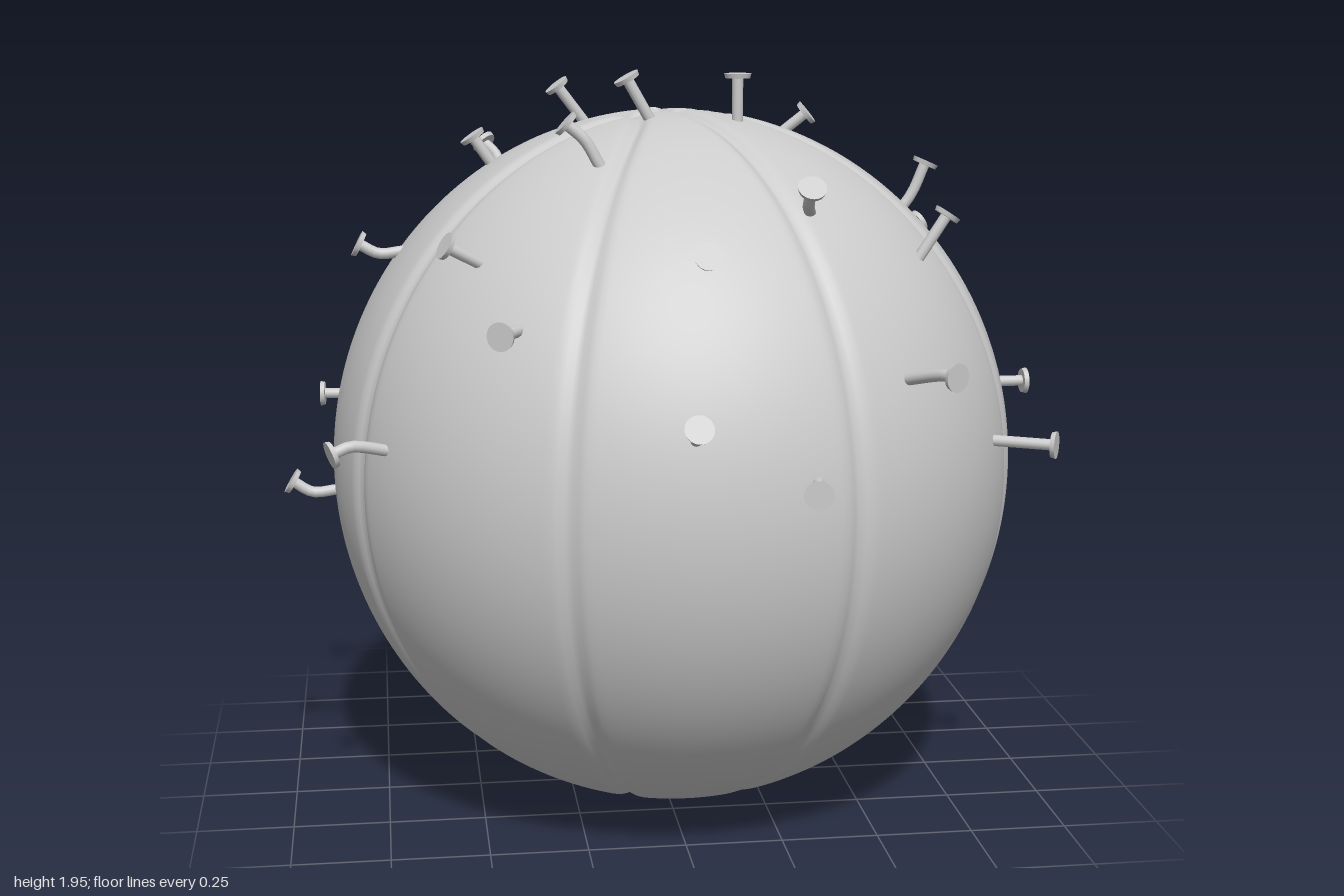
import * as THREE from 'three';
import { mergeVertices } from 'three/addons/utils/BufferGeometryUtils.js';

const CENTRE = new THREE.Vector3(0.025, 0.92, 0.008);

// Straight nails: head position, then the point where the shank enters the ball
const STRAIGHT = [
  [-0.905, 1.03, -0.39, -0.77, 1.03, -0.38],
  [-0.58, 1.55, 0.48, -0.5, 1.505, 0.455],
  [-0.49, 1.77, -0.027, -0.435, 1.69, -0.03],
  [-0.465, 1.37, 0.72, -0.42, 1.37, 0.645],
  [-0.545, 1.4, -0.65, -0.5, 1.35, -0.585],
  [0.545, 1.245, -0.78, 0.495, 1.21, -0.7],
  [-0.25, 1.885, -0.26, -0.17, 1.78, -0.27],
  [-0.105, 1.925, 0.135, -0.045, 1.82, 0.13],
  [0.18, 1.93, 0.13, 0.18, 1.8, 0.13],
  [0.035, 1.79, -0.435, 0.025, 1.73, -0.39],
  [0.425, 1.81, -0.215, 0.34, 1.74, -0.235],
  [0.665, 1.6, 0.405, 0.6, 1.5, 0.405],
  [0.79, 1.485, -0.39, 0.69, 1.43, -0.355],
  [0.99, 1.1, 0.027, 0.89, 1.1, 0.03],
  [0.92, 1.035, 0.54, 0.79, 1.035, 0.47],
  [0.235, 1.035, 0.98, 0.255, 1.035, 0.87],
  [0.02, 1.545, 0.71, 0.02, 1.52, 0.66],
  [0.095, 1.015, -0.985, 0.08, 1.03, -0.88],
  [-0.04, 1.28, -0.935, -0.03, 1.28, -0.81],
];

// Bent nails: head, elbow, entry point
const BENT = [
  [-0.98, 0.875, 0.015, -0.93, 0.845, 0.015, -0.865, 0.85, 0.015],
  [-0.865, 1.055, 0.51, -0.82, 1.07, 0.495, -0.73, 1.05, 0.46],
  [-0.79, 1.5, 0.015, -0.74, 1.475, 0.015, -0.68, 1.48, 0.015],
  [-0.44, 1.72, -0.445, -0.41, 1.69, -0.42, -0.39, 1.63, -0.38],
  [-0.47, 1.12, -0.83, -0.435, 1.1, -0.79, -0.41, 1.1, -0.74],
  [-0.28, 1.83, 0.365, -0.235, 1.79, 0.365, -0.2, 1.73, 0.365],
  [0.71, 1.69, -0.01, 0.67, 1.6, -0.01, 0.6, 1.52, -0.01],
  [0.955, 1.05, -0.41, 0.91, 1.04, -0.39, 0.84, 1.03, -0.35],
  [0.585, 1.27, 0.835, 0.565, 1.27, 0.8, 0.5, 1.24, 0.69],
  [-0.035, 1.185, 0.945, -0.035, 1.165, 0.91, -0.03, 1.14, 0.86],
  [0.28, 1.69, 0.62, 0.28, 1.65, 0.58, 0.3, 1.62, 0.5],
];

// Angular distance from a unit direction to the nearest seam:
// two crossed vertical circles and two ovals that pass close to the poles
function seamDistance(u, v) {
  const f = u * u - v * v - 0.13 * 0.13;
  const slope = 4 * (u * u + v * v) - 4 * (u * u - v * v) ** 2;
  const oval = Math.abs(f) / Math.sqrt(Math.max(slope, 1e-4));
  return Math.min(Math.abs(u), Math.abs(v), oval);
}

// Ball: sphere with the seams pressed in
function makeBall(material) {
  let geo = new THREE.SphereGeometry(1, 320, 140);
  geo.deleteAttribute('uv');
  geo.deleteAttribute('normal');
  geo = mergeVertices(geo, 1e-5);
  const pos = geo.attributes.position;
  const p = new THREE.Vector3();
  for (let i = 0; i < pos.count; i++) {
    p.fromBufferAttribute(pos, i).normalize();
    const d = seamDistance(p.x, p.z);
    const scale = 1 - 0.015 * Math.exp(-((d / 0.022) ** 2));
    pos.setXYZ(i, p.x * 0.897 * scale, p.y * 0.92 * scale, p.z * 0.897 * scale);
  }
  geo.computeVertexNormals();
  const ball = new THREE.Mesh(geo, material);
  ball.name = 'ball';
  ball.position.copy(CENTRE);
  ball.rotation.y = Math.PI / 8;
  return ball;
}

// Nail: shank along two or three points, with a flat disc head
function makeNail(coords, material) {
  const points = [];
  for (let i = 0; i < coords.length; i += 3) points.push(new THREE.Vector3().fromArray(coords, i));
  const last = points[points.length - 1];
  const inward = last.clone().sub(points[points.length - 2]).normalize();
  points.push(last.clone().addScaledVector(inward, 0.04));

  const nail = new THREE.Group();
  nail.name = 'nail';
  const curve = new THREE.CatmullRomCurve3(points);
  const shank = new THREE.Mesh(new THREE.TubeGeometry(curve, 10, 0.0145, 12), material);
  shank.name = 'nailShank';

  const head = new THREE.Mesh(new THREE.CylinderGeometry(0.035, 0.032, 0.012, 20), material);
  head.name = 'nailHead';
  head.position.copy(points[0]);
  const outward = points[0].clone().sub(points[1]).normalize();
  head.quaternion.setFromUnitVectors(new THREE.Vector3(0, 1, 0), outward);
  nail.add(shank, head);
  return nail;
}

export function createModel() {
  const group = new THREE.Group();
  group.name = 'nailedBall';
  const material = new THREE.MeshStandardMaterial({ color: 0xcccccc });
  group.add(makeBall(material));
  for (const coords of [...STRAIGHT, ...BENT]) group.add(makeNail(coords, material));
  return group;
}
